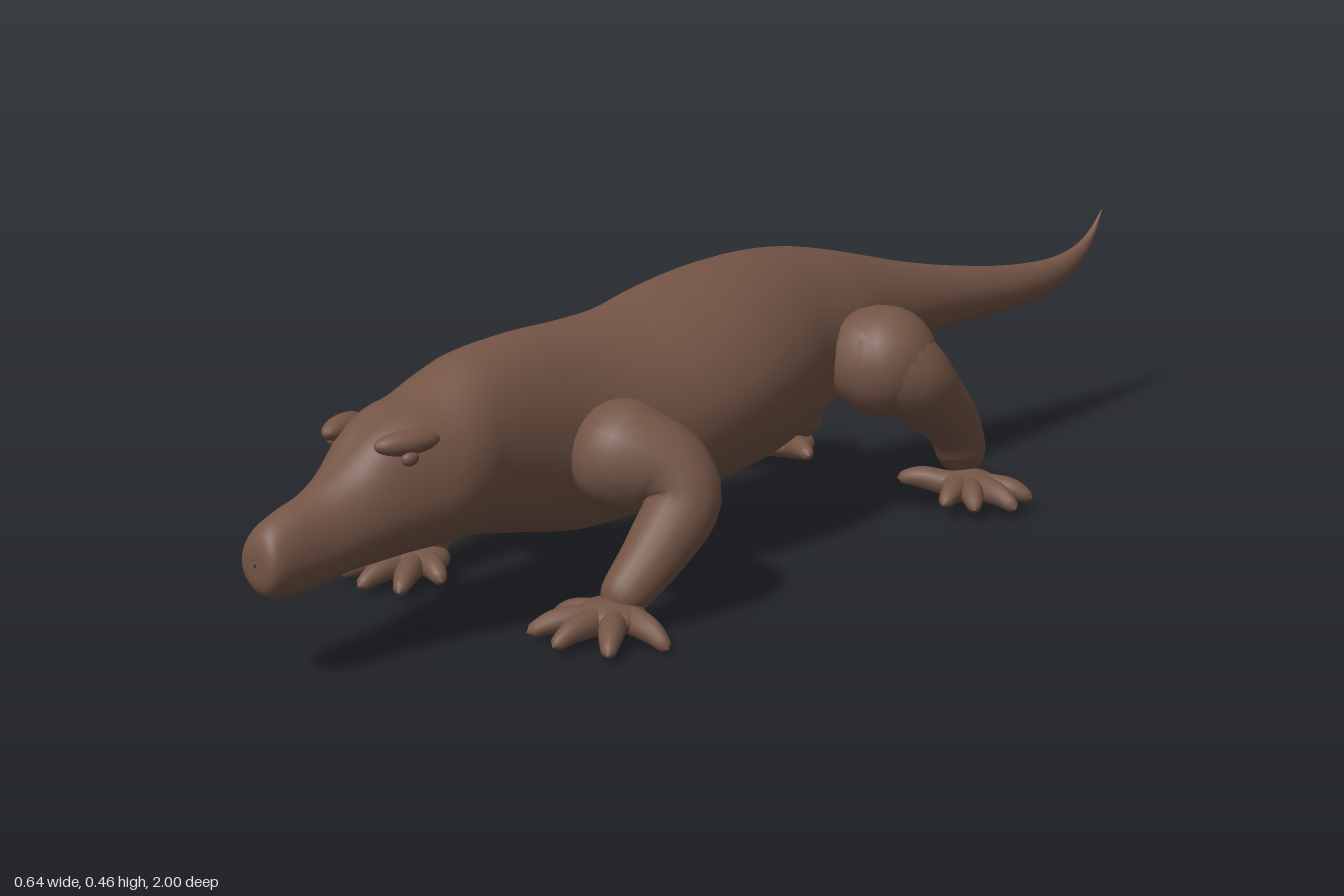
import * as THREE from 'three';

const skin = new THREE.MeshStandardMaterial({ color: 0x745546 });
skin.name = 'brown skin';

// Skin a list of closed rings (equal point counts) into one smooth surface
function skinRings(rings) {
  const n = rings[0].length, pos = [], index = [];
  rings.forEach(r => r.forEach(p => pos.push(p.x, p.y, p.z)));
  for (let i = 0; i < rings.length - 1; i++) {
    for (let j = 0; j < n; j++) {
      const a = i * n + j, b = i * n + (j + 1) % n;
      index.push(a, b, a + n, b, b + n, a + n);
    }
  }
  const g = new THREE.BufferGeometry();
  g.setAttribute('position', new THREE.Float32BufferAttribute(pos, 3));
  g.setIndex(index);
  g.computeVertexNormals();
  return g;
}

function addMesh(parent, geometry, name) {
  const m = new THREE.Mesh(geometry, skin);
  m.name = name;
  parent.add(m);
  return m;
}

// Limb through [x, y, z, radius] stations, with rounded ends; s mirrors x
function limb(stations, s, steps = 32, sides = 18) {
  const path = new THREE.CatmullRomCurve3(stations.map(p => new THREE.Vector3(p[0] * s, p[1], p[2])));
  const size = new THREE.CatmullRomCurve3(stations.map(p => new THREE.Vector3(p[3], 0, 0)), false, 'catmullrom');
  const f = path.computeFrenetFrames(steps);
  const length = path.getLength(), rings = [];
  for (let i = 0; i <= steps; i++) {
    const u = i / steps, t = path.getUtoTmapping(u), c = path.getPoint(t);
    let r = size.getPoint(t).x;
    const d = Math.min(u, 1 - u) * length;
    if (d < r) r = Math.max(0.0005, Math.sqrt(r * r - (r - d) * (r - d)));
    rings.push(Array.from({ length: sides }, (_, j) => {
      const a = j / sides * Math.PI * 2;
      return c.clone().addScaledVector(f.normals[i], Math.cos(a) * r)
        .addScaledVector(f.binormals[i], Math.sin(a) * r);
    }));
  }
  return skinRings(rings);
}

function ball(parent, name, p, r, s, tilt = 0) {
  const m = addMesh(parent, new THREE.SphereGeometry(1, 24, 16), name);
  m.position.set(p[0] * s, p[1], p[2]);
  m.scale.set(...r);
  m.rotation.y = tilt * s;
  return m;
}

// Body stations: z, top, bottom, half width, ridge (positive peaked, negative flat)
const BODY = [
  [1.0, .195, .19, .002, 0], [.998, .22, .165, .028, 0], [.985, .243, .145, .039, 0],
  [.95, .26, .138, .044, 0], [.9, .275, .14, .05, 0], [.85, .3, .148, .062, -.1],
  [.8, .338, .15, .077, -.3], [.75, .358, .152, .093, -.35], [.7, .372, .152, .107, -.2],
  [.65, .4, .15, .107, -.05], [.6, .42, .145, .1, 0], [.5, .43, .125, .1, .05],
  [.4, .43, .105, .113, .1], [.3, .435, .105, .14, .18], [.2, .455, .113, .161, .24],
  [.1, .468, .123, .164, .26], [0, .47, .132, .147, .26], [-.1, .461, .155, .118, .2],
  [-.2, .441, .195, .105, .15], [-.3, .415, .23, .085, .1], [-.4, .388, .249, .073, .1],
  [-.5, .365, .252, .062, .1], [-.6, .346, .251, .051, .1], [-.7, .33, .25, .04, .1],
  [-.8, .32, .254, .029, 0], [-.87, .32, .267, .02, 0], [-.93, .332, .295, .012, 0],
  [-.97, .354, .334, .007, 0], [-1, .385, .382, .001, 0],
];

function bodyGeometry() {
  const a = new THREE.CatmullRomCurve3(BODY.map(p => new THREE.Vector3(p[0], p[1], p[2])), false, 'catmullrom');
  const b = new THREE.CatmullRomCurve3(BODY.map(p => new THREE.Vector3(p[3], p[4], 0)), false, 'catmullrom');
  const steps = (BODY.length - 1) * 4, sides = 48, rings = [];
  for (let i = 0; i <= steps; i++) {
    const { x: z, y: top, z: bottom } = a.getPoint(i / steps);
    const { x: w, y: ridge } = b.getPoint(i / steps);
    const mid = bottom + (top - bottom) * 0.47;
    rings.push(Array.from({ length: sides }, (_, j) => {
      const t = j / sides * Math.PI * 2, sn = Math.sin(t), cs = Math.cos(t);
      const up = (1 - ridge) * cs + ridge * (1 - Math.abs(sn));
      const y = cs > 0 ? mid + (top - mid) * up : mid + (mid - bottom) * cs;
      return new THREE.Vector3(w * sn, y, z);
    }));
  }
  return skinRings(rings);
}

const FRONT_LEG = [[.06, .27, .43, .085], [.13, .25, .41, .085], [.195, .225, .377, .068],
  [.222, .19, .378, .058], [.218, .13, .425, .049], [.21, .08, .478, .039], [.205, .05, .52, .03]];
const FRONT_TOES = [[.318, .016, .515], [.285, .022, .605], [.205, .026, .635], [.135, .027, .617], [.117, .03, .545]];
const BACK_LEG = [[.06, .3, -.18, .085], [.13, .285, -.18, .09], [.174, .262, -.2, .074],
  [.185, .21, -.26, .057], [.178, .15, -.33, .046], [.175, .095, -.358, .041], [.185, .06, -.352, .032]];
const BACK_TOES = [[.3, .033, -.388], [.31, .03, -.33], [.268, .032, -.275], [.222, .038, -.25], [.095, .052, -.29]];

// Toes fan out from the palm, arch at the knuckle and end in a narrow tip
function addToes(parent, tips, palm, s) {
  tips.forEach(([x, y, z], i) => {
    const at = k => [palm[0] + (x - palm[0]) * k, palm[2] + (z - palm[2]) * k];
    const [x1, z1] = at(.3), [x2, z2] = at(.68);
    addMesh(parent, limb([[palm[0], palm[1], palm[2], .02], [x1, palm[1], z1, .021],
      [x2, (palm[1] + y) / 2 + .006, z2, .018], [x, y, z, .009]], s, 16, 12), 'toe' + (i + 1));
  });
}

export function createModel() {
  const model = new THREE.Group();
  model.name = 'lizard';
  addMesh(model, bodyGeometry(), 'bodyHeadAndTail');

  for (const [side, s] of [['left', 1], ['right', -1]]) {
    // Front leg, with the hand pointing forward
    const front = new THREE.Group();
    front.name = side + 'FrontLeg';
    addMesh(front, limb(FRONT_LEG, s), 'arm');
    ball(front, 'palm', [.205, .044, .515], [.055, .025, .05], s);
    addToes(front, FRONT_TOES, [.207, .042, .505], s);

    // Back leg, with the foot turned outward
    const back = new THREE.Group();
    back.name = side + 'BackLeg';
    ball(back, 'thigh', [.15, .28, -.185], [.083, .09, .09], s);
    addMesh(back, limb(BACK_LEG, s), 'leg');
    ball(back, 'sole', [.2, .047, -.35], [.055, .026, .046], s);
    addToes(back, BACK_TOES, [.195, .048, -.35], s);

    // Brow and eye
    const face = new THREE.Group();
    face.name = side + 'Eye';
    ball(face, 'brow', [.066, .332, .775], [.02, .018, .05], s, -.3);
    ball(face, 'eyeball', [.077, .312, .78], [.01, .011, .014], s);
    model.add(front, back, face);
  }
  return model;
}
